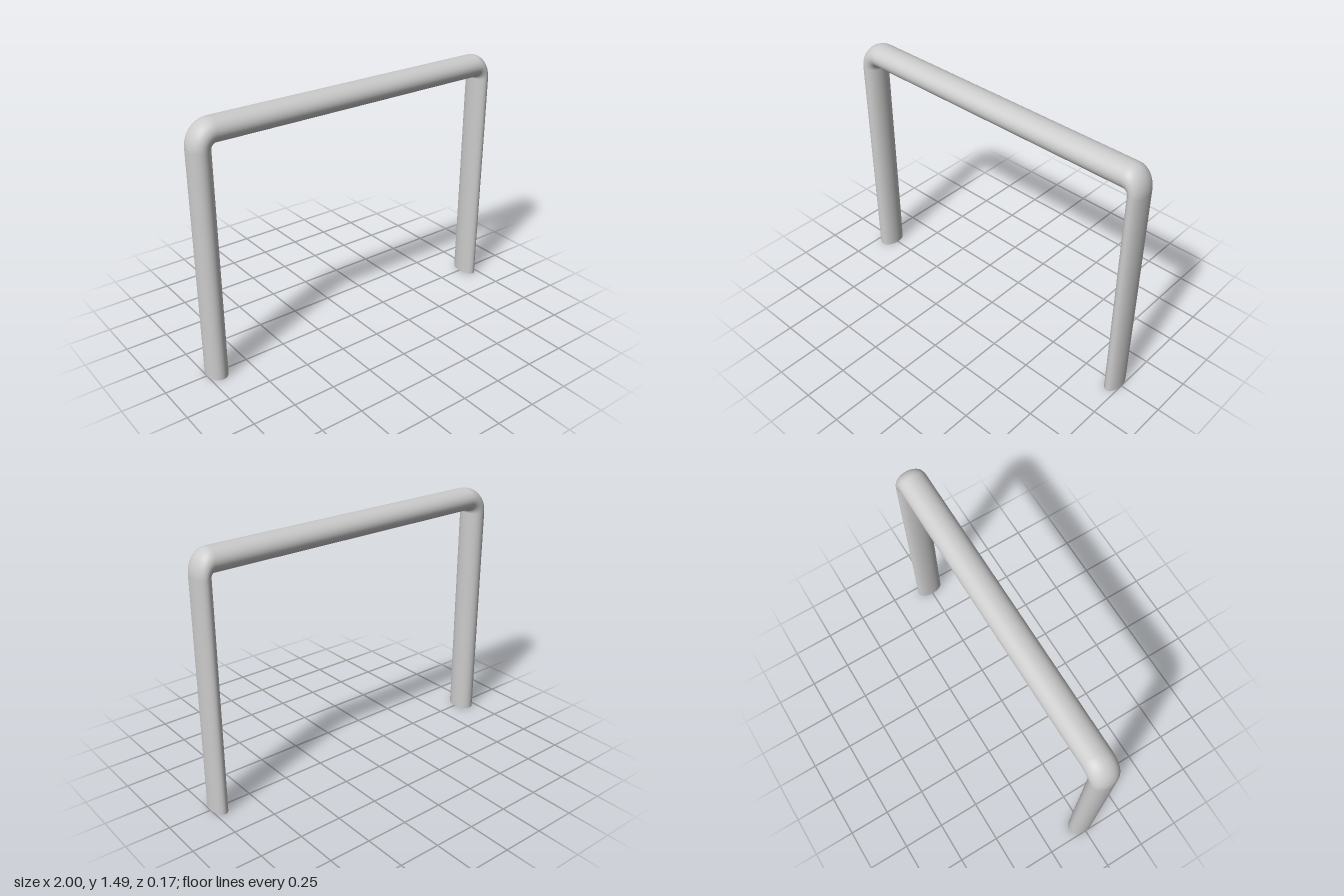
import * as THREE from 'three';

const SIDES = 48, STEPS = 16, HALF_DEPTH = 0.083, WALL = 0.012;

// Section stations along the tube: inner-edge and outer-edge points in the xy plane
function stations() {
  const list = [];
  const bend = (cx, cy, inner, rx, ry, from, to) => {
    for (let i = 0; i <= STEPS; i++) {
      const a = THREE.MathUtils.lerp(from, to, i / STEPS), c = Math.cos(a), s = Math.sin(a);
      list.push([new THREE.Vector2(cx + inner * c, cy + inner * s),
        new THREE.Vector2(cx + rx * c, cy + ry * s)]);
    }
  };
  list.push([new THREE.Vector2(-0.88, 0), new THREE.Vector2(-1, 0)]);
  bend(-0.86, 1.335, 0.02, 0.14, 0.155, Math.PI, Math.PI / 2);
  bend(0.9, 1.345, 0.01, 0.1, 0.145, Math.PI / 2, 0);
  list.push([new THREE.Vector2(0.91, 0), new THREE.Vector2(1, 0)]);
  return list;
}

// Elliptical ring of points at one station, shrunk by inset
function ring([inner, outer], inset) {
  const mid = inner.clone().add(outer).multiplyScalar(0.5);
  const half = outer.clone().sub(mid);
  half.setLength(half.length() - inset);
  return Array.from({ length: SIDES }, (_, j) => {
    const a = (j / SIDES) * Math.PI * 2, c = Math.cos(a);
    return [mid.x + half.x * c, mid.y + half.y * c, (HALF_DEPTH - inset) * Math.sin(a)];
  });
}

// Smooth skin through a list of rings
function loft(rings, flip) {
  const index = [];
  for (let i = 0; i < rings.length - 1; i++) {
    for (let j = 0; j < SIDES; j++) {
      const k = (j + 1) % SIDES;
      const a = i * SIDES + j, b = i * SIDES + k, c = a + SIDES, d = b + SIDES;
      index.push(...(flip ? [a, c, b, b, c, d] : [a, b, c, b, d, c]));
    }
  }
  const geometry = new THREE.BufferGeometry();
  geometry.setAttribute('position', new THREE.Float32BufferAttribute(rings.flat(2), 3));
  geometry.setIndex(index);
  geometry.computeVertexNormals();
  return geometry;
}

export function createModel() {
  const group = new THREE.Group();
  group.name = 'bentTubeFrame';
  const material = new THREE.MeshStandardMaterial({ color: 0xcccccc, side: THREE.DoubleSide });
  const add = (name, geometry) => {
    const mesh = new THREE.Mesh(geometry, material);
    mesh.name = name;
    group.add(mesh);
  };

  const path = stations();
  const outer = path.map((s) => ring(s, 0));
  const bore = path.map((s) => ring(s, WALL));
  const last = path.length - 1;

  // Outer skin and hollow bore
  add('tubeOuter', loft(outer, true));
  add('tubeBore', loft(bore, false));

  // Flat rims closing the wall at both feet
  add('rightFootRim', loft([outer[0], bore[0]], false));
  add('leftFootRim', loft([outer[last], bore[last]], true));
  return group;
}
